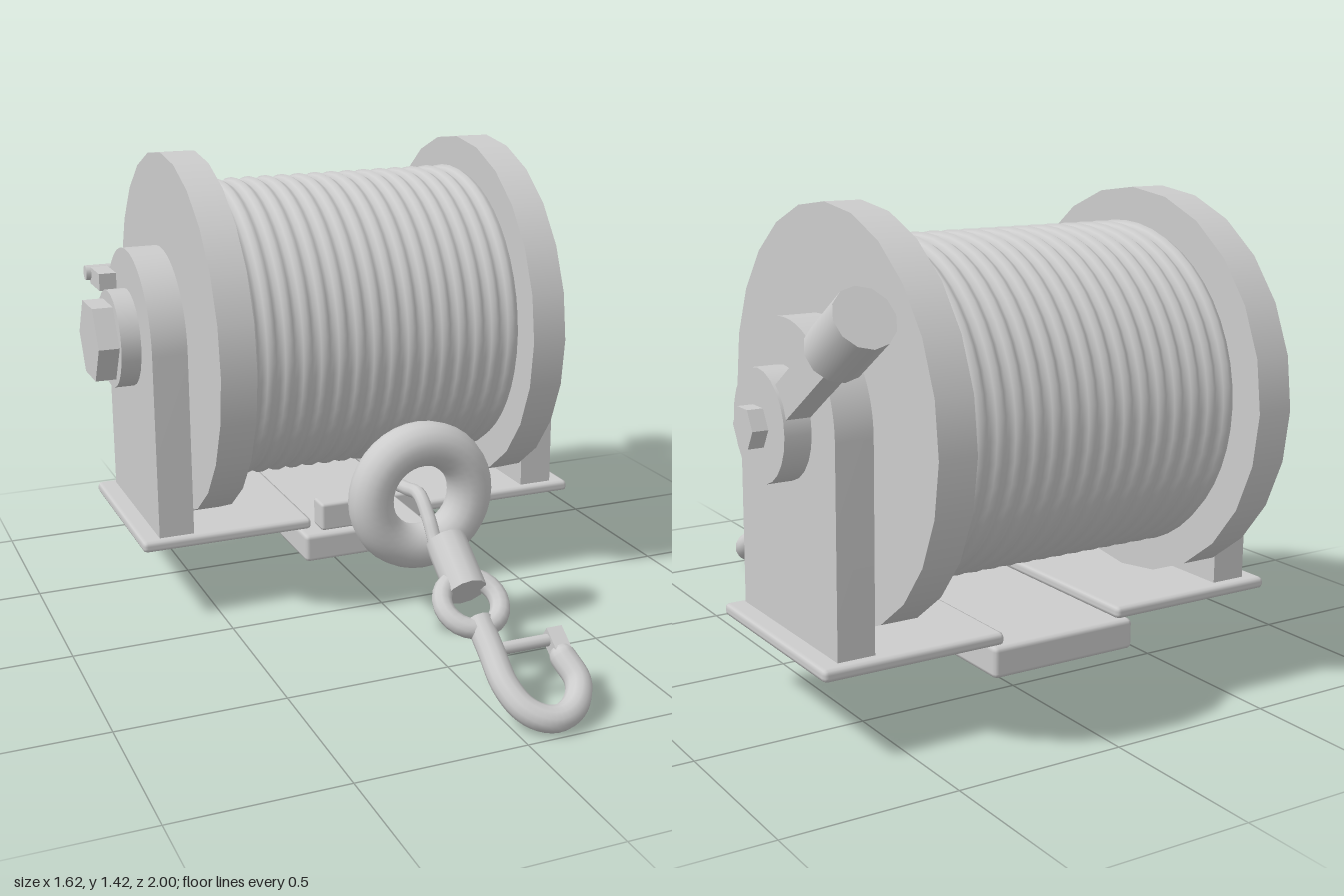
import * as THREE from 'three';
import { toCreasedNormals } from 'three/addons/utils/BufferGeometryUtils.js';
import { RoundedBoxGeometry } from 'three/addons/geometries/RoundedBoxGeometry.js';

const AXIS_Y = 0.86, AXIS_Z = -0.425;

export function createModel() {
  const steel = new THREE.MeshStandardMaterial({ color: 0xcccccc });
  steel.name = 'steel grey';
  const model = new THREE.Group();
  model.name = 'winch';

  const add = (name, geometry, x = 0, y = 0, z = 0, parent = model) => {
    const mesh = new THREE.Mesh(geometry, steel);
    mesh.name = name;
    mesh.position.set(x, y, z);
    parent.add(mesh);
    return mesh;
  };
  // Disc or shaft on the drum axis, spanning x0..x1
  const onAxis = (name, x0, x1, r, sides) => {
    let g = new THREE.CylinderGeometry(r, r, x1 - x0, sides).rotateZ(-Math.PI / 2);
    if (sides < 8) g = toCreasedNormals(g, 0.5);
    return add(name, g, (x0 + x1) / 2, AXIS_Y, AXIS_Z);
  };
  // Box given by its limits, with optionally bevelled edges
  const block = (name, x0, x1, y0, y1, z0, z1, bevel = 0) => {
    const size = [x1 - x0, y1 - y0, z1 - z0];
    const g = bevel ? new RoundedBoxGeometry(...size, 1, bevel) : new THREE.BoxGeometry(...size);
    return add(name, g, (x0 + x1) / 2, (y0 + y1) / 2, (z0 + z1) / 2);
  };
  const tube = (points, segments, r, sides) => new THREE.TubeGeometry(
    new THREE.CatmullRomCurve3(points.map(p => new THREE.Vector3(...p))), segments, r, sides);

  // Drum wound with rope: a rippled profile turned about the axis
  const turns = 16, profile = [];
  for (let i = 0; i <= turns * 4; i++) {
    const r = 0.469 - 0.008 * Math.cos(i / 4 * Math.PI * 2);
    profile.push(new THREE.Vector2(r, -0.455 + 0.91 * i / (turns * 4)));
  }
  add('ropeDrum', new THREE.LatheGeometry(profile, 48).rotateZ(-Math.PI / 2), 0, AXIS_Y, AXIS_Z);
  onAxis('axle', -0.6, 0.6, 0.085, 20);

  // Arched support plate outline, drawn around the axis
  const arch = new THREE.Shape();
  arch.moveTo(-0.28, -0.59);
  arch.lineTo(0.28, -0.59);
  arch.lineTo(0.28, 0);
  arch.absarc(0, 0, 0.28, 0, Math.PI, false);
  arch.closePath();
  const archGeometry = toCreasedNormals(
    new THREE.ExtrudeGeometry(arch, { depth: 0.11, bevelEnabled: false, curveSegments: 20 })
      .translate(0, 0, -0.055).rotateY(Math.PI / 2), 0.6);

  for (const s of [-1, 1]) {
    const side = s > 0 ? 'left' : 'right';
    const span = (a, b) => s > 0 ? [a, b] : [-b, -a];
    onAxis(side + 'Flange', ...span(0.45, 0.56), 0.572, 24);
    add(side + 'Support', archGeometry, s * 0.628, AXIS_Y, AXIS_Z);
    block(side + 'BasePlate', ...span(0.19, 0.74), 0.247, 0.283, -0.74, -0.12, 0.014);
  }

  // Hubs and hexagonal nuts
  onAxis('crankHub', 0.67, 0.76, 0.154, 24);
  onAxis('crankNut', 0.75, 0.805, 0.06, 6);
  onAxis('ratchetHub', -0.745, -0.67, 0.154, 24);
  onAxis('ratchetNut', -0.81, -0.74, 0.133, 6);

  // Ratchet pawl
  block('pawlArm', -0.745, -0.69, 0.99, 1.045, -0.66, -0.53);
  add('pawlPin', new THREE.CylinderGeometry(0.024, 0.024, 0.155, 10).rotateZ(Math.PI / 2), -0.683, 1.025, -0.66);

  // Crank, built upright and swung back
  const crank = new THREE.Group();
  crank.name = 'crank';
  crank.position.set(0.717, AXIS_Y, AXIS_Z);
  crank.rotation.x = -0.965;
  model.add(crank);
  add('crankArm', new THREE.BoxGeometry(0.07, 0.4, 0.1), 0, 0.27, 0, crank);
  add('crankKnob', new THREE.CylinderGeometry(0.083, 0.083, 0.18, 12), 0, 0.52, 0, crank);

  // Base and fairlead mount
  block('baseBlock', -0.233, 0.233, 0.16, 0.25, -0.755, -0.06, 0.014);
  block('crossBar', -0.175, 0.175, 0.255, 0.345, -0.15, -0.07, 0.01);
  block('fairleadBar', -0.075, 0.075, 0.255, 0.345, -0.12, 0.27, 0.01);
  add('fairleadRing', new THREE.TorusGeometry(0.16, 0.067, 16, 36), 0, 0.478, 0.297);

  // Loose rope through the ring
  add('rope', tube([[0, 0.42, -0.12], [0, 0.465, 0.2], [0, 0.475, 0.29],
    [0, 0.42, 0.36], [0, 0.355, 0.42], [0, 0.39, 0.49]], 32, 0.021, 10));

  // Hook assembly, hanging along its local -y
  const hook = new THREE.Group();
  hook.name = 'hookAssembly';
  hook.position.set(0, 0.345, 0.545);
  hook.rotation.x = -0.951;
  model.add(hook);
  add('ropeSleeve', new THREE.CylinderGeometry(0.06, 0.06, 0.175, 12), 0, 0, 0, hook);
  add('linkRing', new THREE.TorusGeometry(0.085, 0.029, 10, 24), 0, -0.123, 0, hook);
  const hookPath = [[0, -0.18, 0], [0, -0.28, 0], [0, -0.39, 0], [0.025, -0.465, 0],
    [0.07, -0.505, 0], [0.12, -0.513, 0], [0.175, -0.485, 0], [0.212, -0.42, 0], [0.2, -0.34, 0]];
  add('hookBody', tube(hookPath, 40, 0.038, 12), 0, 0, 0, hook);
  add('hookTopCap', new THREE.CircleGeometry(0.038, 12).rotateX(-Math.PI / 2), 0, -0.18, 0, hook);
  add('hookEnd', new THREE.SphereGeometry(0.038, 12, 8), 0.2, -0.34, 0, hook);
  add('hookTip', new THREE.BoxGeometry(0.048, 0.1, 0.048), 0.2, -0.305, 0, hook);
  add('hookGate', new THREE.CylinderGeometry(0.018, 0.018, 0.19, 10).rotateZ(Math.PI / 2), 0.1, -0.28, 0, hook);

  return model;
}
